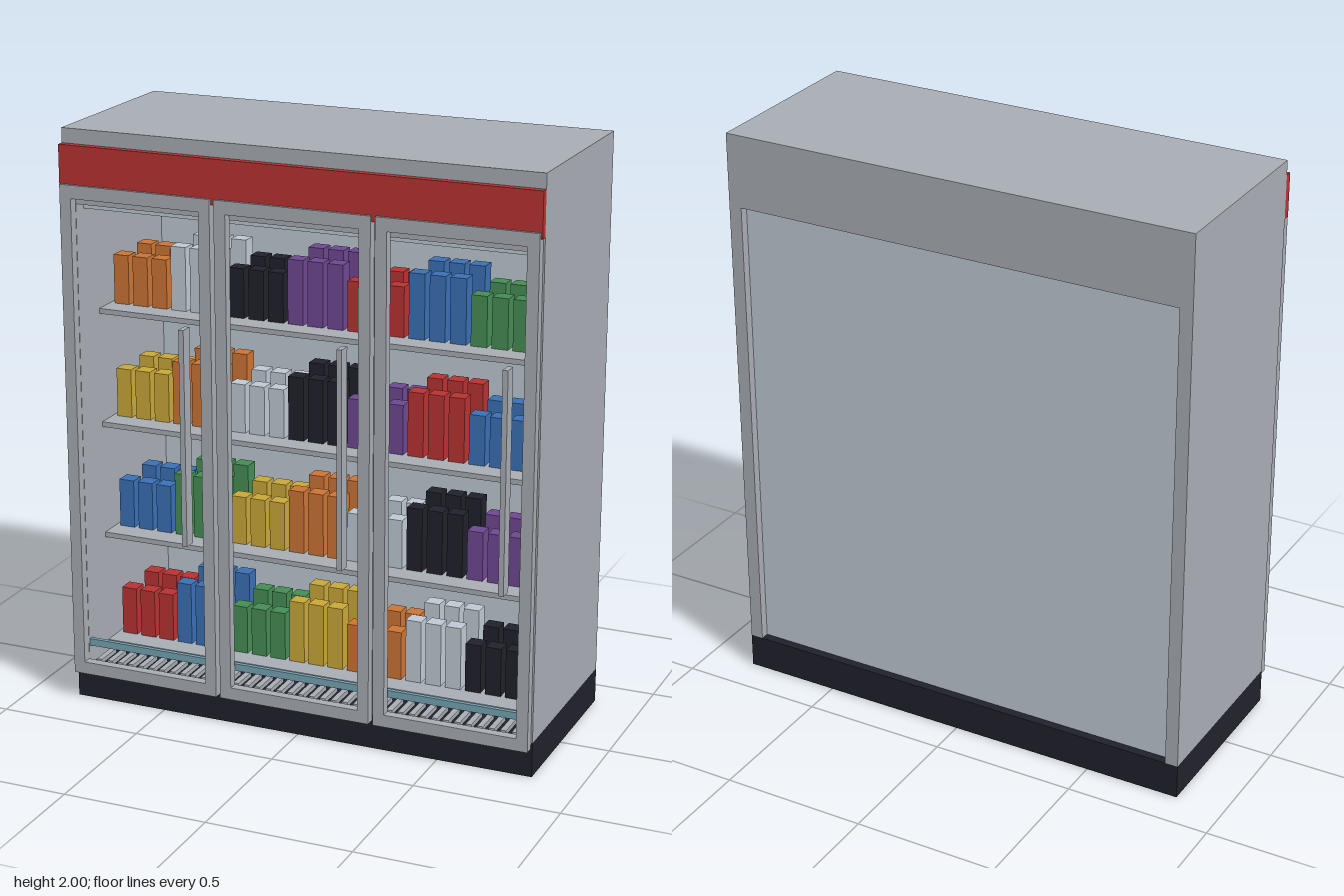
import * as THREE from 'three';

const mat = (name, color) => {
  const m = new THREE.MeshStandardMaterial({ color });
  m.name = name;
  return m;
};

export function createModel() {
  const grey = mat('cabinet grey', 0xa8adb4);
  const pale = mat('pale panel', 0xbfc9d3);
  const dark = mat('near black', 0x20212b);
  const red = mat('red', 0xb83232);
  const teal = mat('teal', 0x74a3b2);
  const blue = mat('blue', 0x3a70b5);
  const green = mat('green', 0x468c54);
  const yellow = mat('yellow', 0xc9a838);
  const orange = mat('orange', 0xcc7434);
  const purple = mat('purple', 0x6d4790);

  const root = new THREE.Group();
  root.name = 'displayFridge';

  // Box given by its lower and upper limits on each axis
  const box = (parent, name, material, [x0, x1], [y0, y1], [z0, z1]) => {
    const m = new THREE.Mesh(new THREE.BoxGeometry(x1 - x0, y1 - y0, z1 - z0), material);
    m.position.set((x0 + x1) / 2, (y0 + y1) / 2, (z0 + z1) / 2);
    m.name = name;
    parent.add(m);
    return m;
  };

  // Cabinet shell
  const W = 0.83, IN = 0.785, BACK = -0.37, FRONT = 0.29;
  box(root, 'base', dark, [-W, W], [0, 0.12], [BACK, FRONT]);
  box(root, 'topHousing', grey, [-W, W], [1.75, 2], [BACK, FRONT]);
  box(root, 'rightWall', grey, [-W, -IN], [0.12, 1.75], [BACK, FRONT]);
  box(root, 'leftWall', grey, [IN, W], [0.12, 1.75], [BACK, FRONT]);
  box(root, 'backPanel', pale, [-IN, IN], [0.12, 1.75], [-0.34, -0.32]);
  box(root, 'headerBand', red, [-W, W], [1.8, 1.95], [FRONT, 0.315]);
  box(root, 'lightStrip', pale, [-IN, IN], [1.725, 1.75], [0.2, 0.24]);

  // Posts between the doors
  for (const s of [-1, 1]) {
    box(root, 'doorPost', grey, [s * 0.2775 - 0.02, s * 0.2775 + 0.02], [0.12, 1.75], [0.26, FRONT]);
  }

  // Front rail and floor grille
  box(root, 'frontRail', teal, [-IN, IN], [0.19, 0.215], [0.27, 0.285]);
  for (let i = 0; i < 39; i++) {
    const x = -0.76 + i * 0.04;
    box(root, 'grilleSlat', grey, [x - 0.01, x + 0.01], [0.12, 0.135], [0.16, 0.265]);
  }

  // Shelves with two rows of cartons in groups of three
  const cycle = [red, blue, green, yellow, orange, pale, dark, purple];
  const firstColour = [0, 1, 3, 4];
  firstColour.forEach((start, level) => {
    const shelf = new THREE.Group();
    shelf.name = 'stockedShelf';
    shelf.position.y = 0.16 + level * 0.4;
    root.add(shelf);
    box(shelf, 'shelf', grey, [-IN, IN], [-0.018, 0], [-0.32, 0.15]);
    for (let i = 0; i < 21; i++) {
      const g = Math.floor(i / 3);
      const x = -0.741 + i * 0.0712;
      const h = g % 2 ? 0.22 : 0.17;
      for (const z of [0.07, -0.1]) {
        box(shelf, 'carton', cycle[(start + g) % 8], [x - 0.0275, x + 0.0275], [0, h], [z - 0.055, z]);
      }
    }
  });

  // Three open door frames with upright handles
  const rect = (path, x, y0, y1) => {
    path.moveTo(-x, y0);
    path.lineTo(x, y0);
    path.lineTo(x, y1);
    path.lineTo(-x, y1);
    path.closePath();
    return path;
  };
  const frame = rect(new THREE.Shape(), 0.27, 0.1, 1.82);
  frame.holes.push(rect(new THREE.Path(), 0.23, 0.143, 1.775));
  const frameGeo = new THREE.ExtrudeGeometry(frame, { depth: 0.033, bevelEnabled: false });
  for (let i = -1; i <= 1; i++) {
    const door = new THREE.Group();
    door.name = 'door';
    door.position.x = i * 0.555;
    const f = new THREE.Mesh(frameGeo, grey);
    f.name = 'doorFrame';
    f.position.z = 0.292;
    door.add(f);
    box(door, 'handle', grey, [0.175, 0.193], [0.645, 1.39], [0.325, 0.37]);
    root.add(door);
  }
  return root;
}
